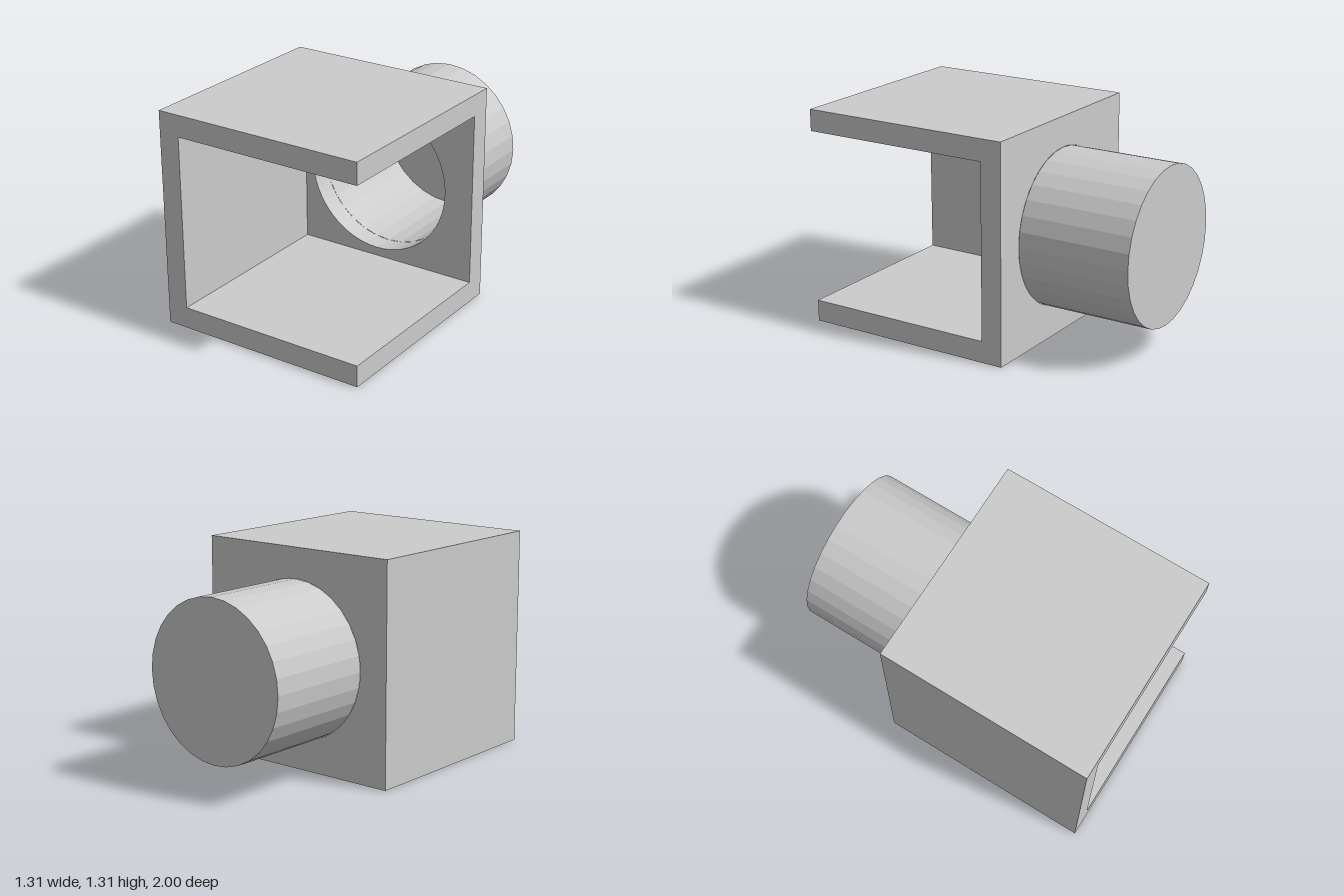
import * as THREE from 'three';

const S = 1.31, H = S / 2, T = 0.13;        // box size, half size, wall thickness
const R = 0.472, SIDES = 32;                // spout radius and facets
const FRONT = 1, BACK = -0.31, END = -1;    // z stations

export function createModel() {
  const group = new THREE.Group();
  const material = new THREE.MeshStandardMaterial({
    color: 0xcccccc, flatShading: true, side: THREE.DoubleSide,
  });
  const add = (name, geometry, x, y, z) => {
    const mesh = new THREE.Mesh(geometry, material);
    mesh.name = name;
    mesh.position.set(x, y, z);
    group.add(mesh);
  };

  // Top and bottom plates
  const midZ = (FRONT + BACK) / 2;
  add('topPlate', new THREE.BoxGeometry(S, T, S), 0, S - T / 2, midZ);
  add('bottomPlate', new THREE.BoxGeometry(S, T, S), 0, T / 2, midZ);

  // Single side wall; the front and the +x side stay open
  add('sideWall', new THREE.BoxGeometry(T, S - 2 * T, S), -H + T / 2, H, midZ);

  // Back wall with a round opening into the spout
  const inner = H - T;
  const wall = new THREE.Shape([
    new THREE.Vector2(-inner, -inner), new THREE.Vector2(H, -inner),
    new THREE.Vector2(H, inner), new THREE.Vector2(-inner, inner),
  ]);
  wall.holes.push(new THREE.Path().absarc(0, 0, R, 0, Math.PI * 2, true));
  add('backWall', new THREE.ExtrudeGeometry(wall, {
    depth: T, bevelEnabled: false, curveSegments: SIDES,
  }), 0, H, BACK);

  // Thin hollow spout, closed at its far end
  const length = BACK - END;
  const tube = new THREE.CylinderGeometry(R, R, length, SIDES, 1, true).rotateX(Math.PI / 2);
  add('spout', tube, 0, H, (BACK + END) / 2);
  add('spoutCap', new THREE.CircleGeometry(R, SIDES).rotateY(Math.PI), 0, H, END);

  return group;
}
